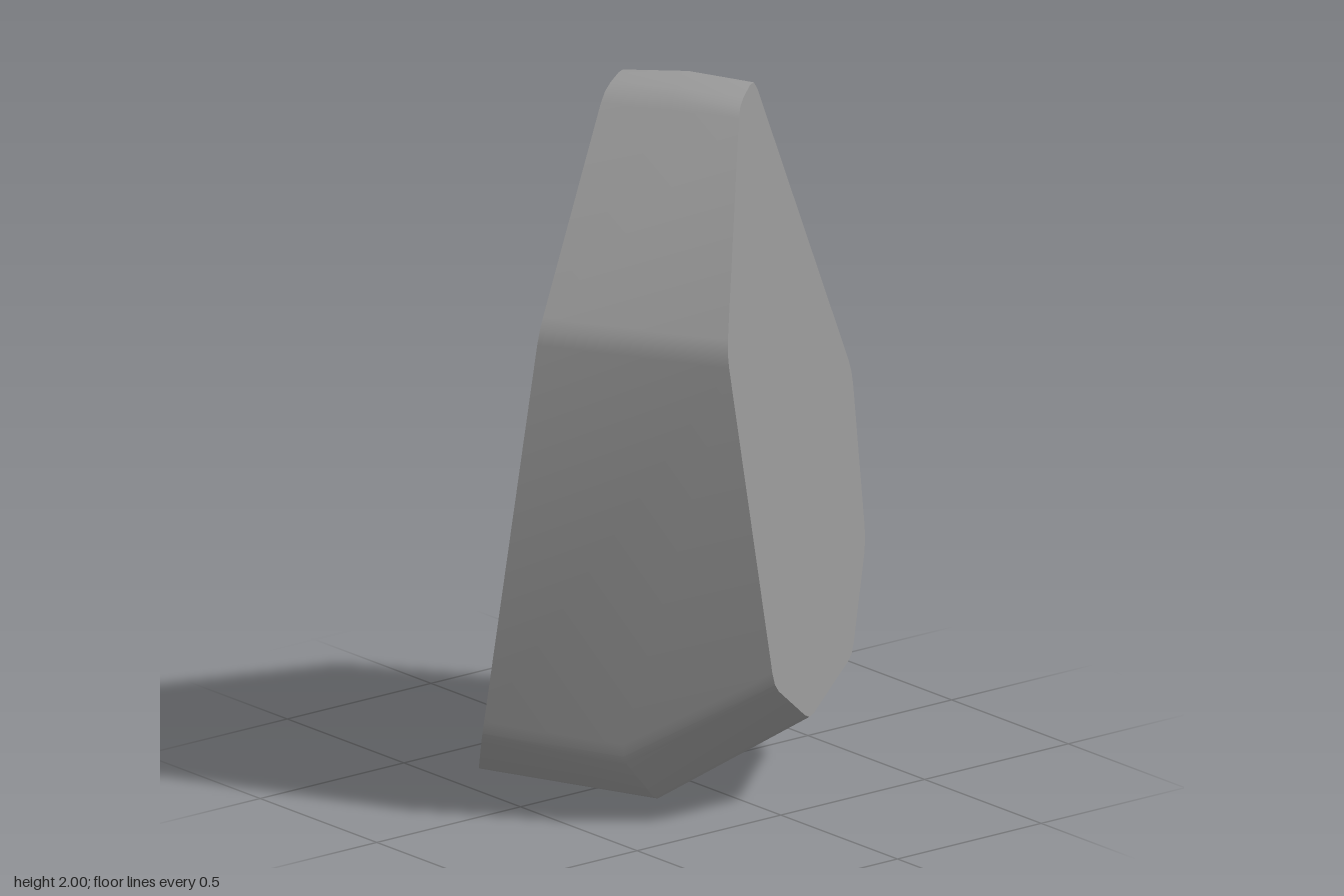
import * as THREE from 'three';
import { ConvexGeometry } from 'three/addons/geometries/ConvexGeometry.js';
import { toCreasedNormals } from 'three/addons/utils/BufferGeometryUtils.js';

const v = (p) => new THREE.Vector3(...p);

// Closed outline with every corner softened by a short three-point curve
function softLoop(points, cut) {
  const n = points.length;
  return points.flatMap((p, i) => {
    const toward = (q) => {
      const d = q.clone().sub(p);
      return p.clone().addScaledVector(d, Math.min(0.3, cut / d.length()));
    };
    const a = toward(points[(i + n - 1) % n]);
    const b = toward(points[(i + 1) % n]);
    const mid = a.clone().add(b).multiplyScalar(0.25).addScaledVector(p, 0.5);
    return [a, mid, b];
  });
}

export function createModel() {
  const group = new THREE.Group();
  group.name = 'rock';

  // Large flat front face: x, y outline laid onto a leaning plane
  const front = [
    [0.02, 1.96], [0.14, 1.99], [0.643, 1.01], [0.625, 0.55],
    [0.45, 0.3], [0.1, 0.25], [-0.13, 0.42], [-0.24, 1.37],
  ].map(([x, y]) => new THREE.Vector3(x, y, (0.485 - 0.12 * y - 0.55 * x) / 0.8));

  // Girdle around the middle: crown, swollen side, underside, shoulder
  const girdle = [
    [0.03, 2.01, 0.07], [0.525, 0.8, -0.285], [0.485, 0.44, -0.305], [0.305, 0.085, -0.1],
    [-0.17, -0.008, 0.18], [-0.405, 0.195, 0.32], [-0.4, 1.385, 0.365], [-0.09, 1.97, 0.145],
  ].map(v);

  // Large back face
  const back = [
    [-0.2, 1.97, -0.01], [-0.09, 2.005, -0.06], [0.285, 0.92, -0.605], [0.22, 0.52, -0.65],
    [-0.02, 0.13, -0.56], [-0.48, 0.045, -0.205], [-0.65, 0.235, 0.02], [-0.565, 1.4, 0.16],
  ].map(v);

  const hull = new ConvexGeometry([front, girdle, back].flatMap((loop) => softLoop(loop, 0.04)));
  const stone = new THREE.Mesh(
    toCreasedNormals(hull, THREE.MathUtils.degToRad(28)),
    new THREE.MeshStandardMaterial({ color: 0x979797 })
  );
  stone.name = 'stone';
  group.add(stone);
  return group;
}
